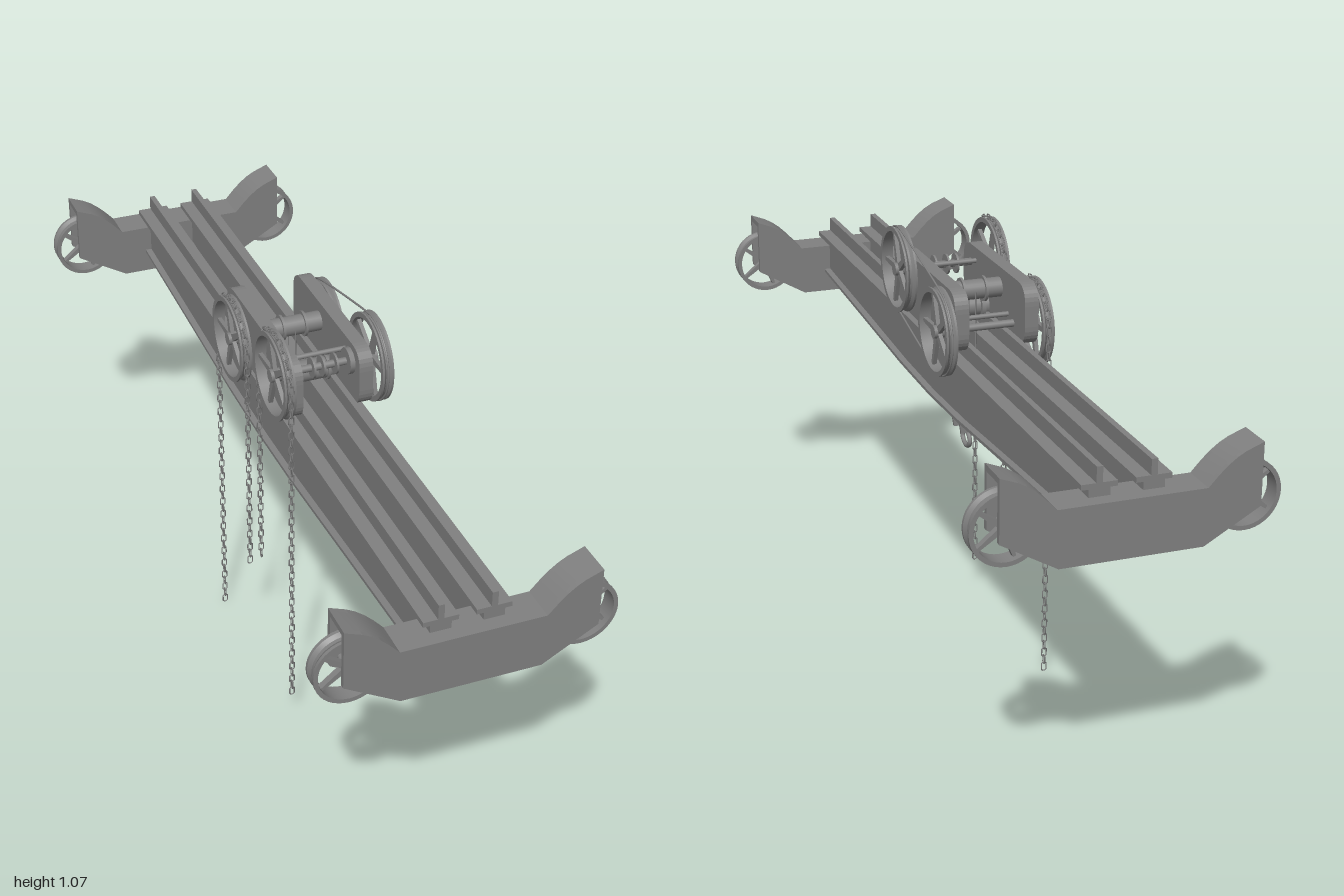
import * as THREE from 'three';
import { mergeGeometries, toCreasedNormals } from 'three/addons/utils/BufferGeometryUtils.js';

const mat = new THREE.MeshStandardMaterial({ color: 0x808080 });
const V = (x, y, z) => new THREE.Vector3(x, y, z);

function add(parent, name, geo, x = 0, y = 0, z = 0) {
  const m = new THREE.Mesh(geo, mat);
  m.name = name;
  m.position.set(x, y, z);
  parent.add(m);
  return m;
}
const box = (p, name, w, h, d, x, y, z) => add(p, name, new THREE.BoxGeometry(w, h, d), x, y, z);

// Rod or disc lying along x
function rodX(p, name, r, len, x, y, z, sides = 20) {
  return add(p, name, new THREE.CylinderGeometry(r, r, len, sides).rotateZ(Math.PI / 2), x, y, z);
}

// Extrusion of an xy outline, centred on z = 0
function slab(shape, depth) {
  return new THREE.ExtrudeGeometry(shape, { depth, bevelEnabled: false, curveSegments: 8 }).translate(0, 0, -depth / 2);
}
// Extrusion of a (z, y) outline, centred on x = 0
const slabX = (shape, depth) => slab(shape, depth).rotateY(-Math.PI / 2);
const outline = pts => new THREE.Shape(pts.map(p => new THREE.Vector2(p[0], p[1])));

// Grooved spoked wheel with its axle along z
function wheel(name, r, width, rimT, spokes = 5) {
  const g = new THREE.Group();
  g.name = name;
  const h = width / 2, ri = r - rimT;
  const prof = [[ri, -h], [r, -h], [r, -h * 0.65], [r - rimT * 0.6, -h * 0.2], [r - rimT * 0.6, h * 0.2],
    [r, h * 0.65], [r, h], [ri, h], [ri, -h]].map(p => new THREE.Vector2(p[0], p[1]));
  add(g, 'rim', toCreasedNormals(new THREE.LatheGeometry(prof, 40), 0.5).rotateX(Math.PI / 2));
  add(g, 'hub', new THREE.CylinderGeometry(r * 0.15, r * 0.15, width * 0.9, 20).rotateX(Math.PI / 2));
  for (let i = 0; i < spokes; i++) {
    const s = outline([[-r * 0.09, 0], [r * 0.09, 0], [r * 0.045, ri + 0.002], [-r * 0.045, ri + 0.002]]);
    add(g, 'spoke', slab(s, width * 0.35)).rotation.z = (i / spokes) * Math.PI * 2 + 0.3;
  }
  return g;
}

// Hollow end carriage with a wheel at each end
function endCarriage(sign) {
  const g = new THREE.Group();
  g.name = 'endCarriage';
  const half = [[0.165, 0.80], [0.188, 0.825], [0.208, 0.844], [0.228, 0.859], [0.248, 0.87], [0.287, 0.885]];
  const top = [...half.map(([x, y]) => [-x, y]).reverse(), ...half];
  const side = outline([...top, [0.287, 0.743], [0.16, 0.67], [-0.16, 0.67], [-0.287, 0.743]]);
  const cap = outline([...top, ...top.map(([x, y]) => [x, y - 0.014]).reverse()]);
  for (const z of [-0.037, 0.037]) add(g, 'sidePlate', slab(side, 0.012), 0, 0, z);
  add(g, 'topPlate', toCreasedNormals(slab(cap, 0.086), 0.8));
  box(g, 'bottomPlate', 0.32, 0.01, 0.064, 0, 0.689, 0);
  for (const s of [-1, 1]) {
    const w = wheel('railWheel', 0.08, 0.042, 0.01);
    w.position.set(s * 0.263, 0.762, 0);
    if (s < 0) w.rotation.y = Math.PI;
    g.add(w);
    add(g, 'wheelPin', new THREE.CylinderGeometry(0.007, 0.007, 0.072, 16).rotateX(Math.PI / 2), s * 0.263, 0.762, 0);
  }
  g.position.z = sign * 0.957;
  return g;
}

// Box girder with flanges, deeper in the middle, with a rail on top
function girder(x) {
  const g = new THREE.Group();
  g.name = 'girder';
  const L = 0.965;
  const low = [[-L, 0.728], [-0.55, 0.706], [-0.22, 0.687], [0, 0.682], [0.22, 0.687], [0.55, 0.706], [L, 0.728]];
  const up = low.map(([z, y]) => [z, y + 0.008]).reverse();
  add(g, 'web', slabX(outline([...low, [L, 0.825], [-L, 0.825]]), 0.048));
  add(g, 'bottomFlange', slabX(outline([...low, ...up]), 0.08));
  box(g, 'topFlange', 0.08, 0.012, 2 * L, 0, 0.824, 0);
  box(g, 'rail', 0.014, 0.037, 2 * L, 0, 0.847, 0);
  g.position.x = x;
  return g;
}

// Chain laid over a wheel; dir is the z side of the long end, where the links start
function chain(x, cy, cz, r, dir, endLong, endShort) {
  const parts = [], pitch = 0.02;
  const a = cy - endLong, arc = Math.PI * r, total = a + arc + cy - endShort;
  const link = new THREE.TorusGeometry(0.0065, 0.0017, 4, 8).rotateZ(Math.PI / 8);
  const p = link.attributes.position;
  for (let i = 0; i < p.count; i++) p.setY(i, p.getY(i) + Math.sign(p.getY(i)) * 0.0055);
  for (let i = 0; i * pitch <= total; i++) {
    const s = i * pitch;
    const t = Math.min(Math.max((s - a) / r, 0), Math.PI);
    const y = s < a ? endLong + s : s > a + arc ? cy - (s - a - arc) : cy + r * Math.sin(t);
    parts.push(link.clone().rotateY(i % 2 ? Math.PI / 2 : 0).rotateX(-dir * t)
      .translate(x, y, cz + dir * r * Math.cos(t)));
  }
  return mergeGeometries(parts);
}

// Endless belt round two equal wheels
function belt(x, A, B, r) {
  const pts = [], dir = Math.atan2(B.y - A.y, B.z - A.z);
  for (const [c, start] of [[A, dir + Math.PI / 2], [B, dir - Math.PI / 2]]) {
    for (let i = 0; i <= 12; i++) {
      const t = start + (i / 12) * Math.PI;
      pts.push(V(x, c.y + r * Math.sin(t), c.z + r * Math.cos(t)));
    }
  }
  return new THREE.TubeGeometry(new THREE.CatmullRomCurve3(pts, true, 'centripetal'), 160, 0.0025, 6, true);
}

function trolley() {
  const g = new THREE.Group();
  g.name = 'trolley';
  // Rounded side plates
  const a = 0.214, b = 0.85, t = 1.0, c = 0.05;
  const s = new THREE.Shape();
  s.moveTo(-a + c, b).lineTo(a - c, b).quadraticCurveTo(a, b, a, b + c).lineTo(a, t - c)
    .quadraticCurveTo(a, t, a - c, t).lineTo(-a + c, t).quadraticCurveTo(-a, t, -a, t - c)
    .lineTo(-a, b + c).quadraticCurveTo(-a, b, -a + c, b);
  for (const x of [-0.086, 0.086]) add(g, 'sidePlate', slabX(s, 0.034), x);

  // Four large wheels on two axles
  const front = V(0, 0.955, 0.16), rear = V(0, 0.888, -0.136);
  for (const p of [front, rear]) {
    rodX(g, 'axle', 0.009, 0.262, 0, p.y, p.z);
    for (const x of [-0.119, 0.119]) {
      const w = wheel('driveWheel', 0.106, 0.028, 0.012);
      w.rotation.y = Math.sign(x) * Math.PI / 2;
      w.position.set(x, p.y, p.z);
      g.add(w);
    }
    rodX(g, 'tieRod', 0.006, 0.14, 0, p.y + 0.012, p.z + (p.z > 0 ? -0.035 : 0.035));
  }
  for (const x of [-0.028, -0.004, 0.028]) rodX(g, 'collar', 0.025, 0.005, x, front.y, front.z);
  rodX(g, 'pinion', 0.032, 0.012, 0.062, front.y, front.z, 12);
  add(g, 'belt', belt(0.119, front, rear, 0.105));
  add(g, 'frontChain', chain(-0.119, front.y, front.z, 0.107, 1, 0.0937, 0.36));
  add(g, 'rearChain', chain(-0.119, rear.y, rear.z, 0.105, -1, 0.0137, 0.29));

  // Winding drums, the lower one with a gear
  rodX(g, 'drum', 0.026, 0.14, 0, 0.878, 0.05, 24);
  rodX(g, 'drumGear', 0.036, 0.01, -0.052, 0.878, 0.05, 16);
  rodX(g, 'drumDisc', 0.031, 0.006, 0.05, 0.878, 0.05, 24);
  rodX(g, 'drum', 0.024, 0.14, 0, 0.95, -0.042, 24);
  for (const x of [-0.028, 0.028]) rodX(g, 'drumDisc', 0.031, 0.006, x, 0.95, -0.042, 24);
  return g;
}

function hookBlock() {
  const g = new THREE.Group();
  g.name = 'hookBlock';
  const cheek = outline([[-0.037, 0.66], [-0.024, 0.578], [0.024, 0.578], [0.037, 0.66]]);
  for (const z of [-0.026, 0.026]) add(g, 'cheek', slab(cheek, 0.008), 0, 0, z);
  for (const [y, r] of [[0.633, 0.011], [0.598, 0.008]])
    add(g, 'pin', new THREE.CylinderGeometry(r, r, 0.074, 16).rotateX(Math.PI / 2), 0, y, 0);
  add(g, 'sheave', new THREE.CylinderGeometry(0.023, 0.023, 0.018, 24).rotateX(Math.PI / 2), 0, 0.633, 0);
  box(g, 'crosshead', 0.03, 0.014, 0.046, 0, 0.592, 0);
  // Hook curling in the yz plane
  const pts = [V(0, 0.592, 0), V(0, 0.575, 0), V(0, 0.567, -0.018), V(0, 0.55, -0.026), V(0, 0.536, -0.012),
    V(0, 0.535, 0.01), V(0, 0.546, 0.026), V(0, 0.562, 0.031)];
  add(g, 'hook', new THREE.TubeGeometry(new THREE.CatmullRomCurve3(pts), 32, 0.006, 8));
  add(g, 'hookTip', new THREE.ConeGeometry(0.006, 0.016, 8), 0, 0.569, 0.032);
  // Hoisting ropes up to the drums, and a loose rope end
  for (const [from, to] of [[V(0, 0.633, 0.012), V(0, 0.878, 0.024)], [V(0, 0.633, -0.012), V(0, 0.95, -0.018)],
    [V(0, 0.53, -0.066), V(0, 0.95, -0.066)]])
    add(g, 'rope', new THREE.TubeGeometry(new THREE.LineCurve3(from, to), 1, 0.0016, 6));
  return g;
}

export function createModel() {
  const model = new THREE.Group();
  model.name = 'overheadCrane';
  for (const s of [-1, 1]) model.add(endCarriage(s), girder(s * 0.06));
  model.add(trolley(), hookBlock());
  return model;
}
